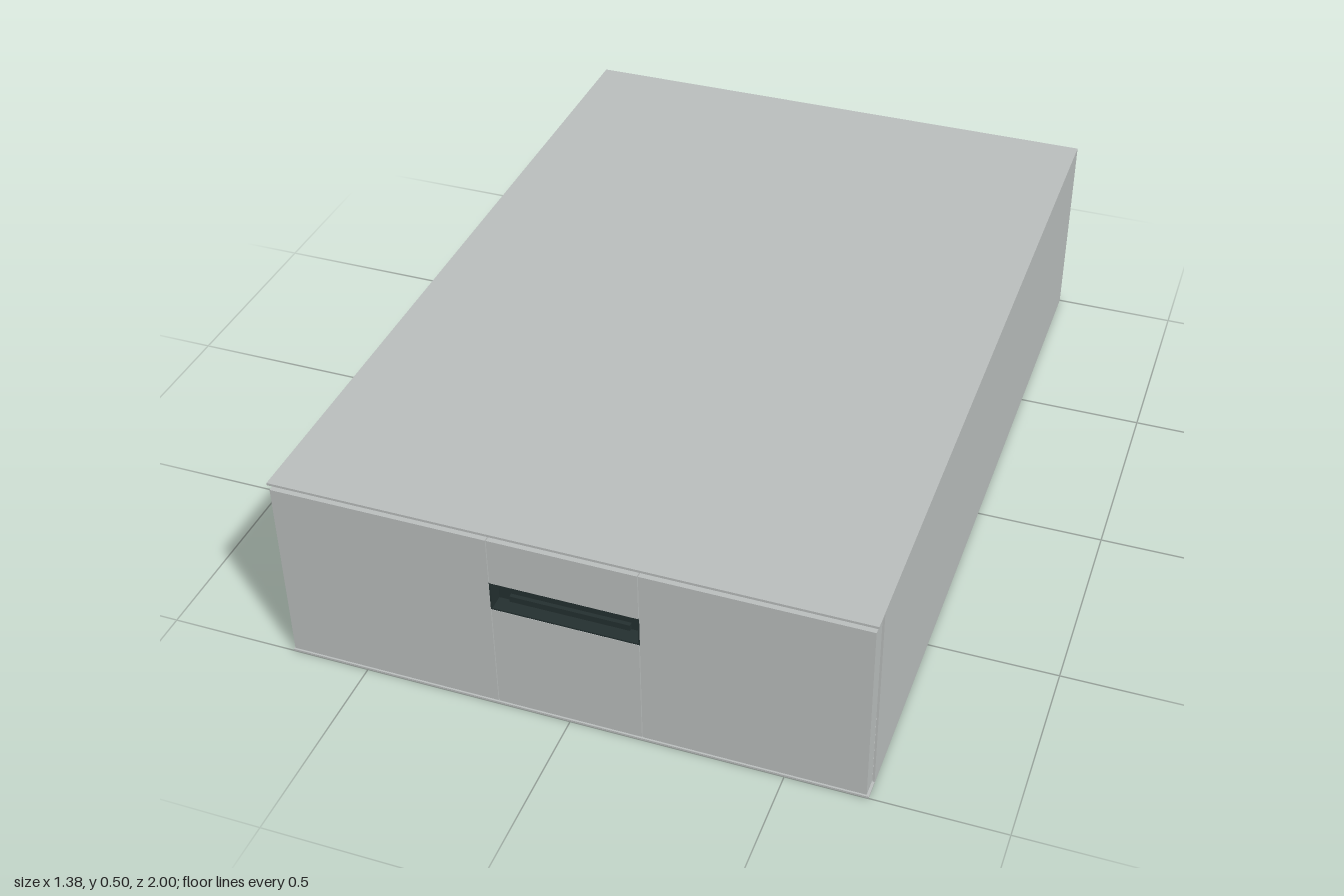
import * as THREE from 'three';

export function createModel() {
  const model = new THREE.Group();
  const steel = new THREE.MeshStandardMaterial({ color: 0xb8bcbb });
  steel.name = 'light grey steel';
  const dark = new THREE.MeshStandardMaterial({ color: 0x232f2f });
  dark.name = 'dark plastic';

  // Box given by its lower and upper corners
  function slab(parent, name, material, [x0, y0, z0], [x1, y1, z1]) {
    const mesh = new THREE.Mesh(new THREE.BoxGeometry(x1 - x0, y1 - y0, z1 - z0), material);
    mesh.position.set((x0 + x1) / 2, (y0 + y1) / 2, (z0 + z1) / 2);
    mesh.name = name;
    parent.add(mesh);
    return mesh;
  }
  // The same box on both sides of x = 0
  function pair(parent, name, material, [x0, y0, z0], [x1, y1, z1]) {
    slab(parent, name + 'Left', material, [x0, y0, z0], [x1, y1, z1]);
    slab(parent, name + 'Right', material, [-x1, y0, z0], [-x0, y1, z1]);
  }

  // Outer sleeve, open at the back
  const shell = new THREE.Group();
  shell.name = 'outerShell';
  model.add(shell);
  slab(shell, 'topPanel', steel, [-0.69, 0.494, -1], [0.69, 0.5, 1]);
  slab(shell, 'bottomPanel', steel, [-0.69, 0, -1], [0.69, 0.005, 1]);
  pair(shell, 'sidePanel', steel, [0.685, 0.005, -1], [0.69, 0.494, 0.955]);

  // Drawer tray, open on top
  const drawer = new THREE.Group();
  drawer.name = 'drawer';
  model.add(drawer);
  slab(drawer, 'trayFloor', steel, [-0.665, 0.11, -0.925], [0.665, 0.117, 0.955]);
  pair(drawer, 'traySide', steel, [0.659, 0.117, -0.925], [0.665, 0.484, 0.955]);
  slab(drawer, 'trayBack', steel, [-0.659, 0.117, -0.925], [0.659, 0.484, -0.919]);

  // Drawer front: two wings and a centre piece around the handle opening
  pair(drawer, 'frontWing', steel, [0.173, 0.01, 0.956], [0.685, 0.482, 1]);
  slab(drawer, 'frontCentreLower', steel, [-0.171, 0.01, 0.956], [0.171, 0.286, 1]);
  slab(drawer, 'frontCentreUpper', steel, [-0.171, 0.362, 0.956], [0.171, 0.482, 1]);
  slab(drawer, 'frontBacking', steel, [-0.68, 0.01, 0.95], [0.68, 0.482, 0.956]);

  // Recessed handle cup
  const handle = new THREE.Group();
  handle.name = 'handleCup';
  drawer.add(handle);
  slab(handle, 'cupBack', dark, [-0.173, 0.286, 0.956], [0.173, 0.362, 0.962]);
  slab(handle, 'cupFloor', dark, [-0.173, 0.286, 0.962], [0.173, 0.29, 0.999]);
  slab(handle, 'cupCeiling', dark, [-0.173, 0.358, 0.962], [0.173, 0.362, 0.999]);
  pair(handle, 'cupSide', dark, [0.169, 0.29, 0.962], [0.173, 0.358, 0.999]);
  slab(handle, 'gripLip', dark, [-0.14, 0.294, 0.962], [0.14, 0.309, 0.972]);

  // Rollers between the tray and the side panels
  for (const side of [-1, 1]) {
    for (const y of [0.13, 0.455]) {
      const roller = new THREE.Mesh(new THREE.CylinderGeometry(0.013, 0.013, 0.012, 20), steel);
      roller.rotation.z = Math.PI / 2;
      roller.position.set(side * 0.679, y, -0.94);
      roller.name = 'roller';
      model.add(roller);
    }
  }

  // Small stops on the floor behind the drawer front
  pair(model, 'floorStop', dark, [0.585, 0.005, 0.9], [0.635, 0.01, 0.95]);

  return model;
}
